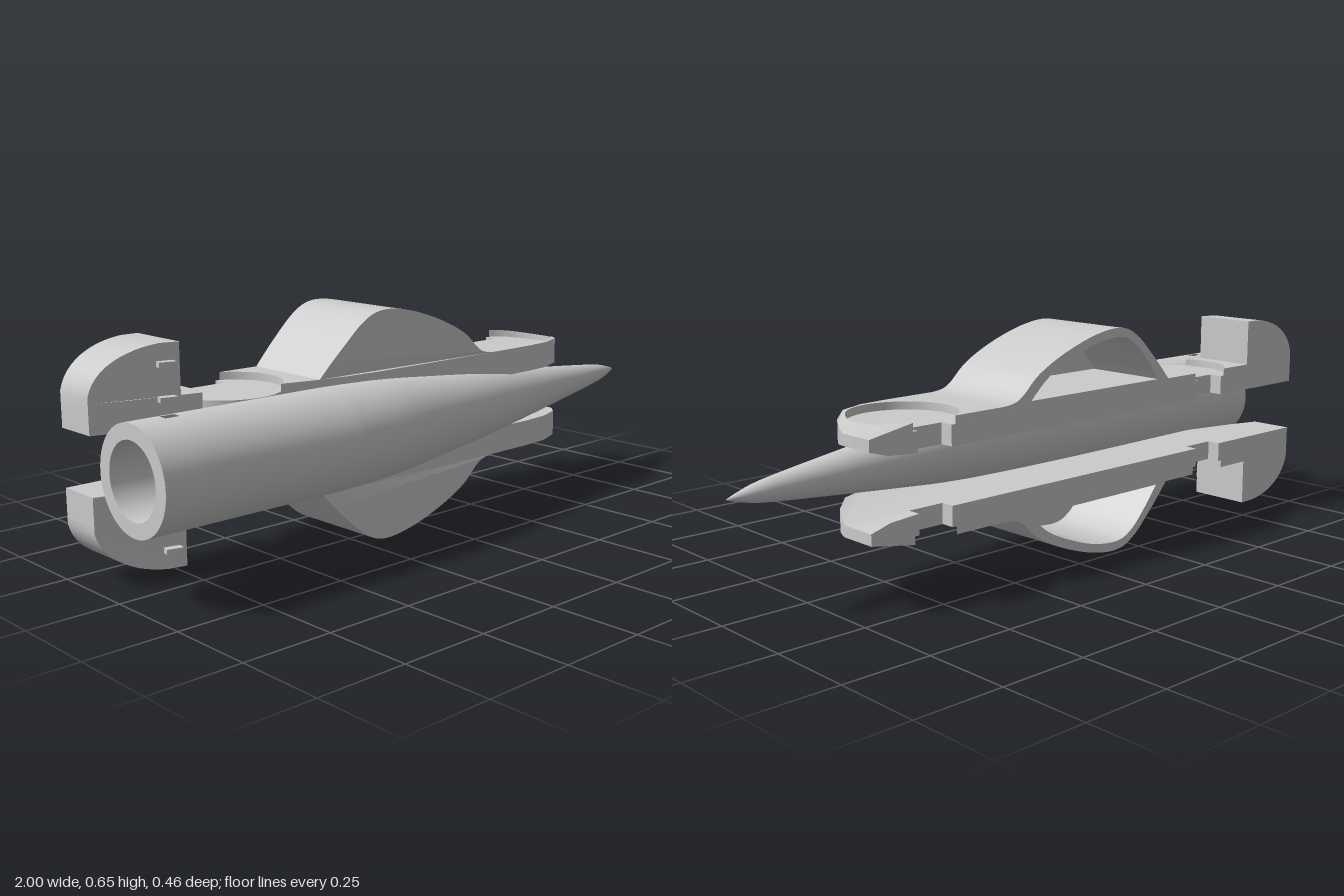
import * as THREE from 'three';
import { toCreasedNormals } from 'three/addons/utils/BufferGeometryUtils.js';

const mat = new THREE.MeshStandardMaterial({ color: 0xcccccc, side: THREE.DoubleSide });
const MID_Y = 0.327, BACK = -0.23, FLOOR = 0.462, POCKET_R = 0.147, POCKET_Z = -0.1;
const POCKETS = [-0.585, 0.505];

function add(parent, name, geo) {
  const mesh = new THREE.Mesh(geo, mat);
  mesh.name = name;
  parent.add(mesh);
  return mesh;
}

// Front edge of the side slab in plan: [x, z]
const edge = [[-1, -0.1], [-0.9, -0.07], [-0.714, -0.03], [-0.6, -0.005], [-0.5, 0.02], [-0.4, 0.045],
  [-0.3, 0.061], [-0.2, 0.068], [0, 0.07], [0.3, 0.07], [0.43, 0.068], [0.52, 0.06], [0.6, 0.03],
  [0.66, -0.03], [0.69, -0.08], [0.71, -0.12]];

function edgeZ(x) {
  for (let i = 1; i < edge.length; i++) {
    const [x0, z0] = edge[i - 1], [x1, z1] = edge[i];
    if (x <= x1) return z0 + (z1 - z0) * Math.max(0, (x - x0) / (x1 - x0));
  }
  return edge[edge.length - 1][1];
}

// Plan outline extruded upwards, thinned towards the nose end
function slab(points, y0, y1) {
  const shape = new THREE.Shape(points.map(([x, z]) => new THREE.Vector2(x, -z)));
  const geo = new THREE.ExtrudeGeometry(shape, { depth: y1 - y0, bevelEnabled: false });
  geo.rotateX(-Math.PI / 2).translate(0, y0, 0);
  const p = geo.attributes.position;
  for (let i = 0; i < p.count; i++) {
    const t = THREE.MathUtils.clamp((p.getX(i) - 0.58) / 0.13, 0, 1);
    p.setY(i, 0.445 + (p.getY(i) - 0.445) * (1 - 0.6 * t * t));
  }
  return toCreasedNormals(geo, 0.5);
}

// Side profile extruded along z; the front face follows the slab edge when asked
function profile(shape, z0, z1, followEdge) {
  const geo = new THREE.ExtrudeGeometry(shape, { depth: z1 - z0, bevelEnabled: false });
  geo.translate(0, 0, z0);
  const p = geo.attributes.position;
  if (followEdge) {
    for (let i = 0; i < p.count; i++) {
      if (p.getZ(i) > z1 - 0.001) p.setZ(i, edgeZ(p.getX(i)));
    }
  }
  return toCreasedNormals(geo, 0.6);
}

function arc(cx, a0, a1, n = 32) {
  return Array.from({ length: n + 1 }, (_, i) => {
    const a = a0 + (a1 - a0) * i / n;
    return [cx + POCKET_R * Math.cos(a), POCKET_Z + POCKET_R * Math.sin(a)];
  });
}

const vectors = (list) => list.map(([x, y]) => new THREE.Vector2(x, y));

// Round hull with a straight back line, tapering to a point
function hullGeometry() {
  const taper = new THREE.SplineCurve(vectors([[-0.4, 0.141], [-0.2, 0.135], [0, 0.119], [0.2, 0.102],
    [0.4, 0.082], [0.6, 0.061], [0.8, 0.039], [0.9, 0.026], [0.96, 0.012], [0.995, 0.001]]));
  const rows = [...vectors([[-1, 0.141], [-0.91, 0.141], [-0.87, 0.141], [-0.6, 0.141]]), ...taper.getPoints(60)];
  const N = 64, pos = [], index = [];
  rows.forEach(({ x, y: r }, i) => {
    const zc = -0.057 + r + 0.016 * Math.max(0, (x - 0.86) / 0.14) ** 2;
    for (let j = 0; j < N; j++) {
      const a = j / N * Math.PI * 2;
      pos.push(x, MID_Y + r * Math.sin(a), zc + r * Math.cos(a));
      // small slots near the tail, above and below
      const slot = i === 1 && (j % 32 === 15 || j % 32 === 16);
      if (i === rows.length - 1 || slot) continue;
      const k = i * N + j, l = i * N + (j + 1) % N;
      index.push(k, k + N, l, l, k + N, l + N);
    }
  });
  const geo = new THREE.BufferGeometry();
  geo.setAttribute('position', new THREE.Float32BufferAttribute(pos, 3));
  geo.setIndex(index);
  geo.computeVertexNormals();
  return geo;
}

function sidePod() {
  const pod = new THREE.Group();

  // Lower slab with a notch behind each pocket
  const back = [[0.71, BACK], [0.65, BACK]];
  for (const c of [...POCKETS].reverse()) {
    back.push([c + 0.055, BACK], [c + 0.055, -0.19], [c - 0.055, -0.19], [c - 0.055, BACK]);
  }
  back.push([-1, BACK]);
  add(pod, 'slabBase', slab([...edge, ...back], 0.405, FLOOR));

  // Raised rims around the round pockets
  const tailRim = [[-1, BACK], ...arc(POCKETS[0], 4.226, 2.64), ...edge.slice(0, 2).reverse()];
  add(pod, 'tailRim', slab(tailRim, FLOOR, 0.484));
  const mainRim = [...arc(POCKETS[0], -1.085, 0.954), ...edge.slice(5), [0.71, BACK],
    ...arc(POCKETS[1], -1.085, 4.226, 64)];
  add(pod, 'mainRim', slab(mainRim, FLOOR, 0.484));

  // Floor of the rear pocket, reaching over the hull
  const disc = new THREE.CylinderGeometry(POCKET_R, POCKET_R, 0.03, 64, 1, false, -1.2, 2.4);
  add(pod, 'pocketFloor', disc).position.set(POCKETS[0], FLOOR - 0.013, POCKET_Z);

  // Hump, hollowed from behind
  const crest = new THREE.SplineCurve(vectors([[-0.39, 0.484], [-0.33, 0.55], [-0.25, 0.625], [-0.18, 0.653],
    [-0.08, 0.643], [0.04, 0.605], [0.14, 0.556], [0.2, 0.505], [0.235, 0.488], [0.29, 0.483]])).getPoints(60);
  const outline = [...crest, new THREE.Vector2(0.29, 0.47), new THREE.Vector2(-0.39, 0.47)];
  const hollow = new THREE.SplineCurve(vectors([[-0.345, 0.487], [-0.3, 0.543], [-0.24, 0.603], [-0.18, 0.627],
    [-0.08, 0.617], [0.03, 0.58], [0.11, 0.54], [0.17, 0.487]])).getPoints(40);
  const arch = new THREE.Shape(outline);
  arch.holes.push(new THREE.Path(hollow));
  add(pod, 'humpShell', profile(arch, BACK, 0.03, false));
  add(pod, 'humpFront', profile(new THREE.Shape(outline), 0.03, 0.07, true));

  // Upright tail block with a rounded rear
  const tail = new THREE.Shape();
  tail.moveTo(-0.77, 0.46);
  tail.lineTo(-0.77, 0.62);
  tail.lineTo(-0.82, 0.62);
  tail.bezierCurveTo(-0.91, 0.612, -0.985, 0.57, -1, 0.5);
  tail.lineTo(-1, 0.46);
  add(pod, 'tailBlock', profile(tail, BACK, -0.05, true));

  // Small clips on the front of the tail block
  for (const y of [0.479, 0.568]) {
    const clip = add(pod, 'clip', new THREE.BoxGeometry(0.045, 0.014, 0.035));
    clip.position.set(-0.81, y, -0.045);
    clip.rotation.y = -0.25;
  }
  return pod;
}

export function createModel() {
  const model = new THREE.Group();
  model.name = 'model';

  const hull = new THREE.Group();
  hull.name = 'hull';
  add(hull, 'hullSkin', hullGeometry());
  // Open tail: rim, bore and its end wall
  const bore = new THREE.CylinderGeometry(0.1, 0.1, 0.9, 48, 1, true).rotateZ(Math.PI / 2);
  add(hull, 'bore', bore).position.set(-0.55, MID_Y, 0.084);
  const rim = new THREE.RingGeometry(0.1, 0.141, 64).rotateY(-Math.PI / 2);
  add(hull, 'tailRing', rim).position.set(-1, MID_Y, 0.084);
  const wall = new THREE.CircleGeometry(0.1, 48).rotateY(-Math.PI / 2);
  add(hull, 'boreEnd', wall).position.set(-0.1, MID_Y, 0.084);
  model.add(hull);

  const upper = sidePod();
  upper.name = 'upperPod';
  const lower = sidePod();
  lower.name = 'lowerPod';
  lower.scale.y = -1;
  lower.position.y = MID_Y * 2;
  model.add(upper, lower);
  return model;
}
